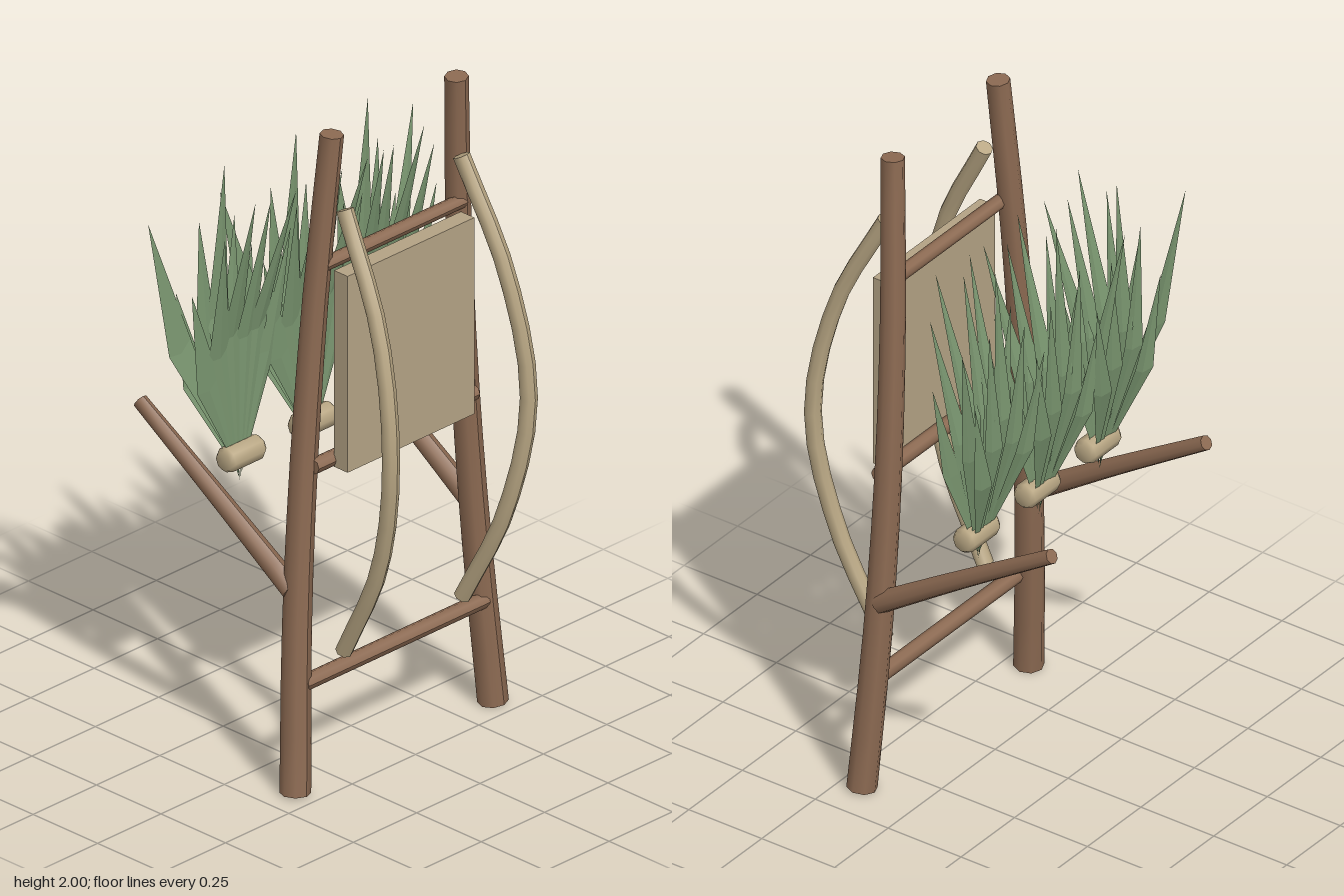
import * as THREE from 'three';

const CX = -0.013; // the frame sits slightly off centre

function material(name, color, side = THREE.FrontSide) {
  const m = new THREE.MeshStandardMaterial({ color, side });
  m.name = name;
  return m;
}

// A tapered round limb that follows a smooth path through a few points
function limb(points, r0, r1, segments = 12) {
  const curve = new THREE.CatmullRomCurve3(points.map(p => new THREE.Vector3(...p)));
  const geo = new THREE.CylinderGeometry(r1, r0, 1, 8, segments);
  const pos = geo.attributes.position;
  const zAxis = new THREE.Vector3(0, 0, 1);
  for (let i = 0; i < pos.count; i++) {
    const t = THREE.MathUtils.clamp(pos.getY(i) + 0.5, 0, 1);
    const tangent = curve.getTangent(t);
    const n = tangent.clone().cross(zAxis).normalize();
    const b = n.clone().cross(tangent);
    const p = curve.getPoint(t).addScaledVector(n, pos.getX(i)).addScaledVector(b, pos.getZ(i));
    pos.setXYZ(i, p.x, p.y, p.z);
  }
  geo.computeVertexNormals();
  return geo;
}

// A kite-shaped leaf, folded slightly along its middle rib
function leafTriangles(base, mid, tip, halfWidth) {
  const l = [mid[0] - halfWidth, mid[1], mid[2] - 0.006];
  const r = [mid[0] + halfWidth, mid[1] + 0.03, mid[2] - 0.006];
  return [...base, ...r, ...mid, ...mid, ...r, ...tip, ...base, ...mid, ...l, ...l, ...mid, ...tip];
}

// Two fans of leaves, one leaning forward and one leaning back
function bundleLeaves(flip) {
  const rows = [
    { spread: [-0.2, -0.13, -0.05, 0.04, 0.11, 0.18], height: [1.47, 1.64, 1.74, 1.7, 1.72, 1.55],
      tipZ: [-0.13, -0.07, -0.03, -0.06, -0.03, -0.12], midZ: -0.135 },
    { spread: [-0.24, -0.15, -0.07, 0, 0.08, 0.16], height: [1.66, 1.42, 1.62, 1.78, 1.58, 1.46],
      tipZ: [-0.26, -0.24, -0.23, -0.2, -0.24, -0.25], midZ: -0.22 },
  ];
  const out = [];
  for (const row of rows) {
    row.spread.forEach((s, i) => {
      const x = s * flip;
      const h = row.height[i];
      const midY = 0.82 + (h - 0.82) * 0.5;
      out.push(...leafTriangles(
        [x * 0.08, 0.82 + Math.abs(s) * 0.25, -0.14],
        [x * 0.62, midY, row.midZ],
        [x, h, row.tipZ[i]],
        0.042));
    });
  }
  const geo = new THREE.BufferGeometry();
  geo.setAttribute('position', new THREE.Float32BufferAttribute(out, 3));
  geo.computeVertexNormals();
  return geo;
}

export function createModel() {
  const model = new THREE.Group();
  model.name = 'packFrame';
  const wood = material('brown wood', 0x8c6a52);
  const hide = material('tan panel', 0xb3a284);
  const strapTan = material('light strap', 0xb9a784);
  const green = material('leaf green', 0x7a9670, THREE.DoubleSide);

  const frame = new THREE.Group();
  frame.name = 'frame';
  frame.position.x = CX;
  model.add(frame);

  function add(parent, name, geo, mat) {
    const mesh = new THREE.Mesh(geo, mat);
    mesh.name = name;
    parent.add(mesh);
    return mesh;
  }

  // Poles, carrying arms and shoulder straps, mirrored left and right
  for (const [side, s] of [['left', 1], ['right', -1]]) {
    add(frame, side + 'Pole', limb([
      [s * 0.39, 0.004, 0.18], [s * 0.355, 0.5, 0.152], [s * 0.318, 1, 0.143],
      [s * 0.282, 1.5, 0.153], [s * 0.246, 1.998, 0.18]], 0.044, 0.034), wood);
    add(frame, side + 'Arm', limb([
      [s * 0.36, 0.61, 0.14], [s * 0.361, 0.785, -0.13], [s * 0.361, 0.985, -0.45]],
    0.033, 0.022, 8), wood);
    add(frame, side + 'Strap', limb([
      [s * 0.234, 0.4, 0.215], [s * 0.25, 0.72, 0.37], [s * 0.272, 1.08, 0.435],
      [s * 0.252, 1.45, 0.37], [s * 0.23, 1.77, 0.215]], 0.025, 0.025, 14), strapTan);
  }

  // Cross rungs
  for (const [name, y, half, r, z] of [
    ['lowerRung', 0.33, 0.358, 0.024, 0.178],
    ['middleRung', 0.99, 0.318, 0.023, 0.178],
    ['upperRung', 1.6, 0.275, 0.021, 0.175]]) {
    add(frame, name, limb([[-half, y, z], [0, y, z], [half, y, z]], r, r, 1), wood);
  }

  // Back panel
  add(frame, 'backPanel', new THREE.BoxGeometry(0.5, 0.61, 0.052), hide)
    .position.set(0, 1.275, 0.219);

  // Three leaf bundles, each bound by a rounded collar
  const collar = new THREE.LatheGeometry([
    [0, -0.071], [0.028, -0.071], [0.038, -0.058], [0.038, 0.058], [0.028, 0.071], [0, 0.071],
  ].map(p => new THREE.Vector2(...p)), 8);
  collar.rotateZ(Math.PI / 2);
  for (const i of [-1, 0, 1]) {
    const bundle = new THREE.Group();
    bundle.name = ['rightBundle', 'middleBundle', 'leftBundle'][i + 1];
    bundle.position.x = CX + i * 0.283;
    add(bundle, 'leaves', bundleLeaves(i > 0 ? -1 : 1), green);
    add(bundle, 'collar', collar, strapTan).position.set(0, 0.906, -0.135);
    model.add(bundle);
  }
  return model;
}
